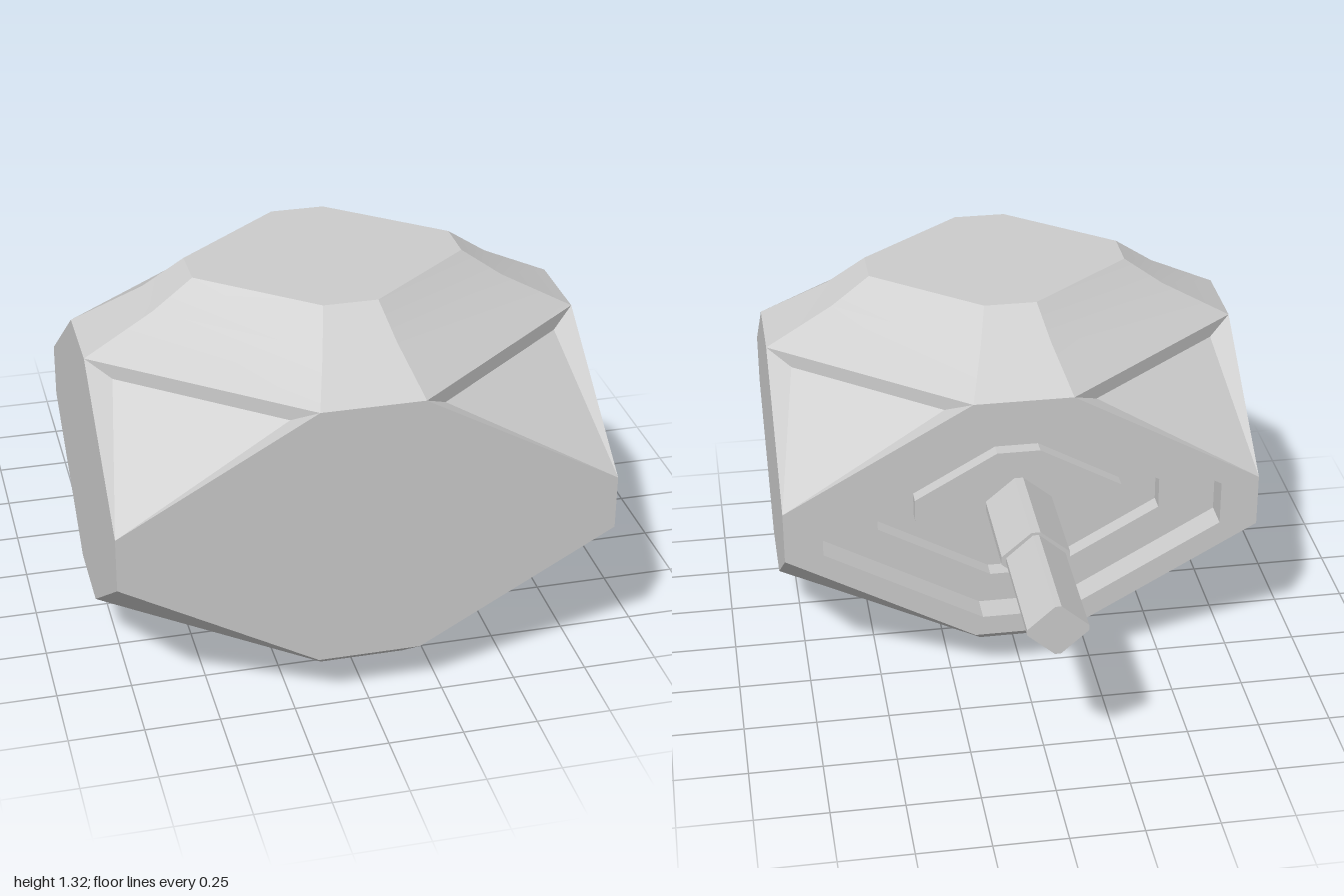
import * as THREE from 'three';
import { toCreasedNormals } from 'three/addons/utils/BufferGeometryUtils.js';

const CY = 0.64, CZ = 0.34;          // centre of the body
const HX = 0.82, HY = 0.46, HZ = 0.66; // half sizes of the body
const WX = 0.17, WY = 0.093, WZ = 0.14; // half lengths of the short octagon edges
const material = new THREE.MeshStandardMaterial({ color: 0xcccccc });

// Octagon with long cut corners, counter-clockwise
const octagon = (a, b, wa, wb) => [
  [a, -wb], [a, wb], [wa, b], [-wa, b], [-a, wb], [-a, -wb], [-wa, -b], [wa, -b],
];
const faceOctagon = (s) => octagon(HX * s, HY * s, WX * s, WY * s);
const ring = (y, hx, hz, wx, wz) => octagon(hx, hz, wx, wz).map(([x, z]) => new THREE.Vector3(x, y, CZ + z));

// Flat polygons fanned into triangles, each facing away from the body centre
function shell(polygons, crease) {
  const centre = new THREE.Vector3(0, CY, CZ), pos = [];
  for (const p of polygons) {
    for (let i = 1; i < p.length - 1; i++) {
      const t = [p[0], p[i], p[i + 1]];
      const n = t[1].clone().sub(t[0]).cross(t[2].clone().sub(t[0]));
      if (n.dot(t[0].clone().sub(centre)) < 0) t.reverse();
      t.forEach((v) => pos.push(v.x, v.y, v.z));
    }
  }
  const g = new THREE.BufferGeometry();
  g.setAttribute('position', new THREE.Float32BufferAttribute(pos, 3));
  g.computeVertexNormals();
  return toCreasedNormals(g, crease);
}

// Quads between successive rings, closed by a cap on the last one
function loft(rings) {
  const out = [rings[rings.length - 1]];
  for (let r = 0; r < rings.length - 1; r++) {
    for (let i = 0; i < 8; i++) {
      const j = (i + 1) % 8;
      out.push([rings[r][i], rings[r][j], rings[r + 1][j], rings[r + 1][i]]);
    }
  }
  return out;
}

// Octagonal slab or frame on the back, from z = front to z = back
function backPanel(outer, inner, front, back) {
  const points = (s) => faceOctagon(s).map(([x, y]) => new THREE.Vector2(x, y));
  const shape = new THREE.Shape(points(outer));
  if (inner) shape.holes.push(new THREE.Path(points(inner)));
  const g = new THREE.ExtrudeGeometry(shape, { depth: front - back, bevelEnabled: false });
  g.translate(0, CY, back);
  return g;
}

function bar(hx, hy, w, front, back) {
  const shape = new THREE.Shape(octagon(hx, hy, w, w).map(([x, y]) => new THREE.Vector2(x, y)));
  const g = new THREE.ExtrudeGeometry(shape, { depth: front - back, bevelEnabled: false });
  g.translate(0, CY, back);
  return g;
}

export function createModel() {
  const group = new THREE.Group();
  const add = (name, geometry) => {
    const mesh = new THREE.Mesh(geometry, material);
    mesh.name = name;
    group.add(mesh);
  };
  const V = (x, y, z) => new THREE.Vector3(x, y, z);

  // Domed lid and rounded base
  add('lid', shell(loft([
    ring(CY + HY, HX, HZ, WX, WZ), ring(1.22, 0.585, 0.485, 0.12, 0.095), ring(1.315, 0.45, 0.365, 0.09, 0.075),
  ]), 0.35));
  add('base', shell(loft([
    ring(CY - HY, HX, HZ, WX, WZ), ring(0.1, 0.69, 0.56, 0.14, 0.115), ring(0, 0.51, 0.41, 0.1, 0.085),
  ]), 0.35));

  // Front and side octagons
  const faces = [faceOctagon(1).map(([x, y]) => V(x, CY + y, CZ + HZ))];
  for (const s of [-1, 1]) {
    faces.push(octagon(HZ, HY, WZ, WY).map(([z, y]) => V(s * HX, CY + y, CZ + z)));
  }
  add('flatFaces', shell(faces, 0.1));

  // Corner facets; the upper ones dip under the edge of the lid
  const corners = [], lips = [];
  for (const sx of [-1, 1]) {
    for (const sz of [-1, 1]) {
      const P = (x, y, z) => V(sx * x, CY + y, CZ + sz * z);
      corners.push([P(HX, -WY, HZ), P(HX, -HY, WZ), P(WX, -HY, HZ)]);
      const tip = P(HX, WY, HZ), a = P(HX, HY, WZ), b = P(WX, HY, HZ);
      const a2 = P(0.74, HY - 0.05, 0.204), b2 = P(0.25, HY - 0.05, 0.596);
      corners.push([tip, a, a2], [tip, a2, b2], [tip, b2, b]);
      lips.push([a, b, b2, a2]);
    }
  }
  add('cornerFacets', shell(corners, 0.3));
  add('lidLips', shell(lips, 0.1));

  // Stepped recess in the back with a raised plate
  add('backRim', backPanel(1, 0.84, -0.22, -0.32));
  add('backStep', backPanel(0.9, 0.6, -0.16, -0.22));
  add('backFloor', backPanel(0.65, 0, -0.12, -0.16));
  add('backPlate', backPanel(0.44, 0, -0.15, -0.21));

  // Shaft in two thicknesses
  add('shaftCollar', bar(0.115, 0.1, 0.015, -0.18, -0.57));
  add('shaft', bar(0.1, 0.09, 0.01, -0.5, -1));
  return group;
}
